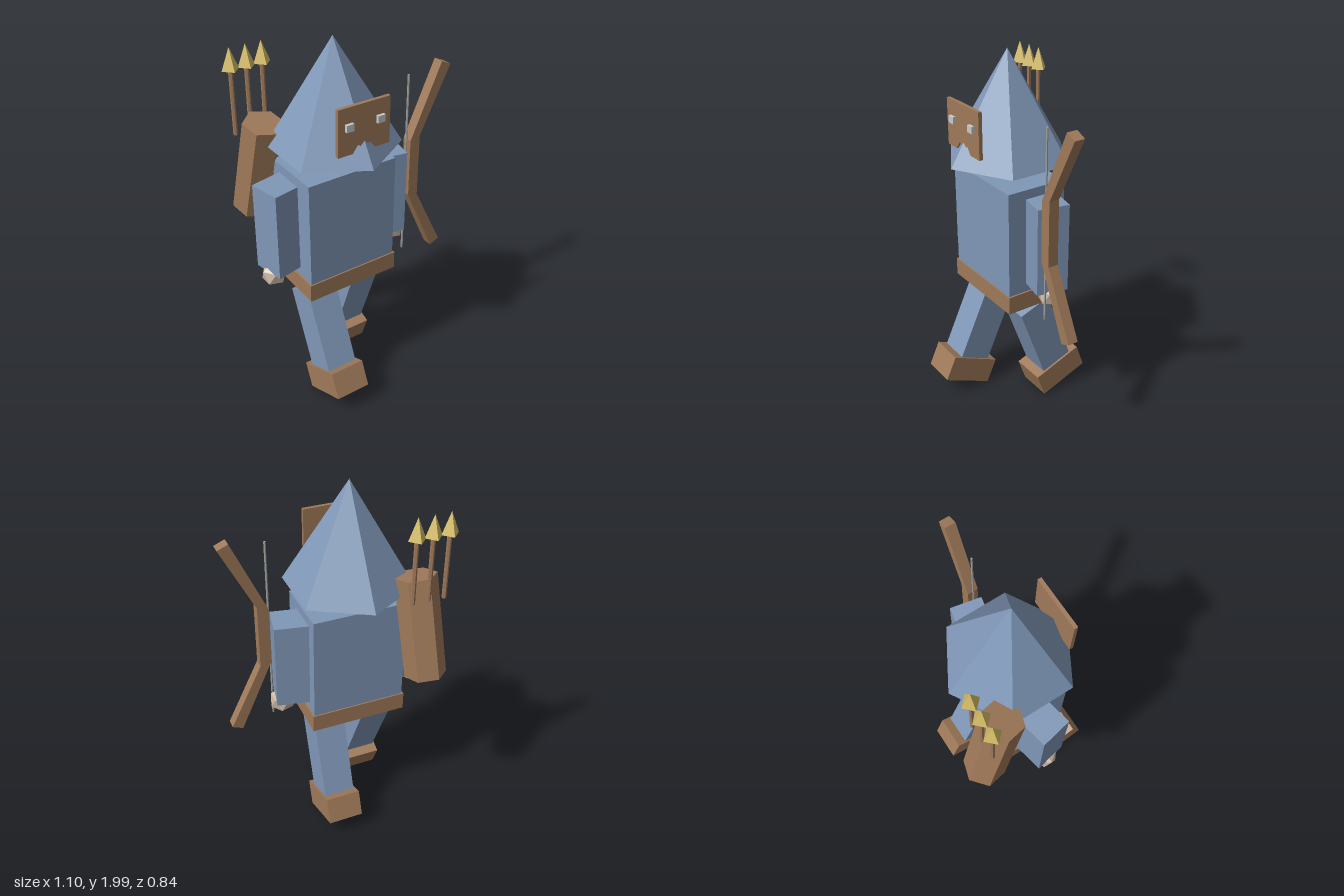
import * as THREE from 'three';

export function createModel() {
  const model = new THREE.Group();
  const mat = (name, color) => {
    const m = new THREE.MeshStandardMaterial({ color, flatShading: true });
    m.name = name;
    return m;
  };
  const blue = mat('blue cloth', 0x8098b8);
  const brown = mat('brown leather', 0xa07a5a);
  const gold = mat('gold', 0xd8c068);
  const skin = mat('skin', 0xcdb9a3);
  const pale = mat('pale grey', 0xc8cccc);
  const grey = mat('string grey', 0xa0a29c);

  const CX = -0.105; // body centre line
  const CZ = 0.022;

  const add = (name, geo, material, x = 0, y = 0, z = 0, parent = model) => {
    const mesh = new THREE.Mesh(geo, material);
    mesh.name = name;
    mesh.position.set(x, y, z);
    parent.add(mesh);
    return mesh;
  };
  const box = (w, h, d) => new THREE.BoxGeometry(w, h, d);
  const plate = (points, depth) => new THREE.ExtrudeGeometry(
    new THREE.Shape(points.map(([x, y]) => new THREE.Vector2(x, y))),
    { depth, bevelEnabled: false });

  // Torso, belt and pointed hood
  add('torso', box(0.515, 0.6, 0.345), blue, CX, 1.05, CZ);
  add('belt', box(0.535, 0.1, 0.36), brown, CX, 0.715, CZ);
  add('hood', new THREE.ConeGeometry(0.342, 0.56, 6), blue, CX, 1.72, CZ);

  // Face mask with a notch below the nose
  const half = [[0.147, 0.12], [0.147, -0.125], [0.065, -0.125], [0.035, -0.085]];
  const outline = [...half, [0, -0.112], ...half.map(([x, y]) => [-x, y]).reverse()];
  add('mask', plate(outline, 0.02), brown, CX - 0.002, 1.64, 0.267);

  for (const s of [1, -1]) {
    const side = s > 0 ? 'left' : 'right';
    add(side + 'Eye', box(0.042, 0.037, 0.016), pale, CX - 0.002 + s * 0.088, 1.661, 0.295);

    // Arms are turned slightly forward
    const arm = add(side + 'Arm', box(0.22, 0.485, 0.173), blue, CX + s * 0.306, 1.057, 0.01);
    arm.rotation.y = -s * 0.2;

    const hand = new THREE.IcosahedronGeometry(0.07);
    hand.rotateZ(0.5536);
    add(side + 'Hand', hand, skin, CX + s * 0.379, 0.787, CZ);
  }

  // Striding legs, each swung from the hip
  const leg = (name, x, y, z, swing) => {
    const g = new THREE.Group();
    g.name = name;
    g.position.set(x, y, z);
    g.rotation.x = swing;
    add('trouser', box(0.172, 0.47, 0.19), blue, 0, -0.235, 0, g);
    add('boot', box(0.195, 0.145, 0.298), brown, 0, -0.5275, 0, g);
    model.add(g);
  };
  leg('leftLeg', 0.04, 0.625, 0.01, 0.349);
  leg('rightLeg', -0.255, 0.614, 0.035, -0.431);

  // Bow with angled limbs and a straight string
  const bow = [[0.315, 1.36], [0.495, 1.76], [0.553, 1.735], [0.375, 1.375],
    [0.375, 1.017], [0.553, 0.655], [0.495, 0.63], [0.315, 1.03]];
  add('bow', plate(bow, 0.058), brown, 0, 0, 0.052);
  add('bowString', new THREE.CylinderGeometry(0.006, 0.006, 1.055, 6), grey, 0.309, 1.197, 0.08);

  // Quiver leaning across the back
  const quiver = add('quiver', new THREE.CylinderGeometry(0.11, 0.11, 0.545, 6), brown,
    -0.391, 1.27, -0.255);
  quiver.rotation.set(0.237, 0.22, 0, 'YXZ');

  // Arrows
  for (const x of [-0.477, -0.39, -0.304]) {
    add('arrowShaft', new THREE.CylinderGeometry(0.012, 0.012, 0.36, 6), brown, x, 1.63, -0.311);
    add('arrowHead', new THREE.ConeGeometry(0.047, 0.115, 4), gold, x, 1.857, -0.311);
  }

  return model;
}
